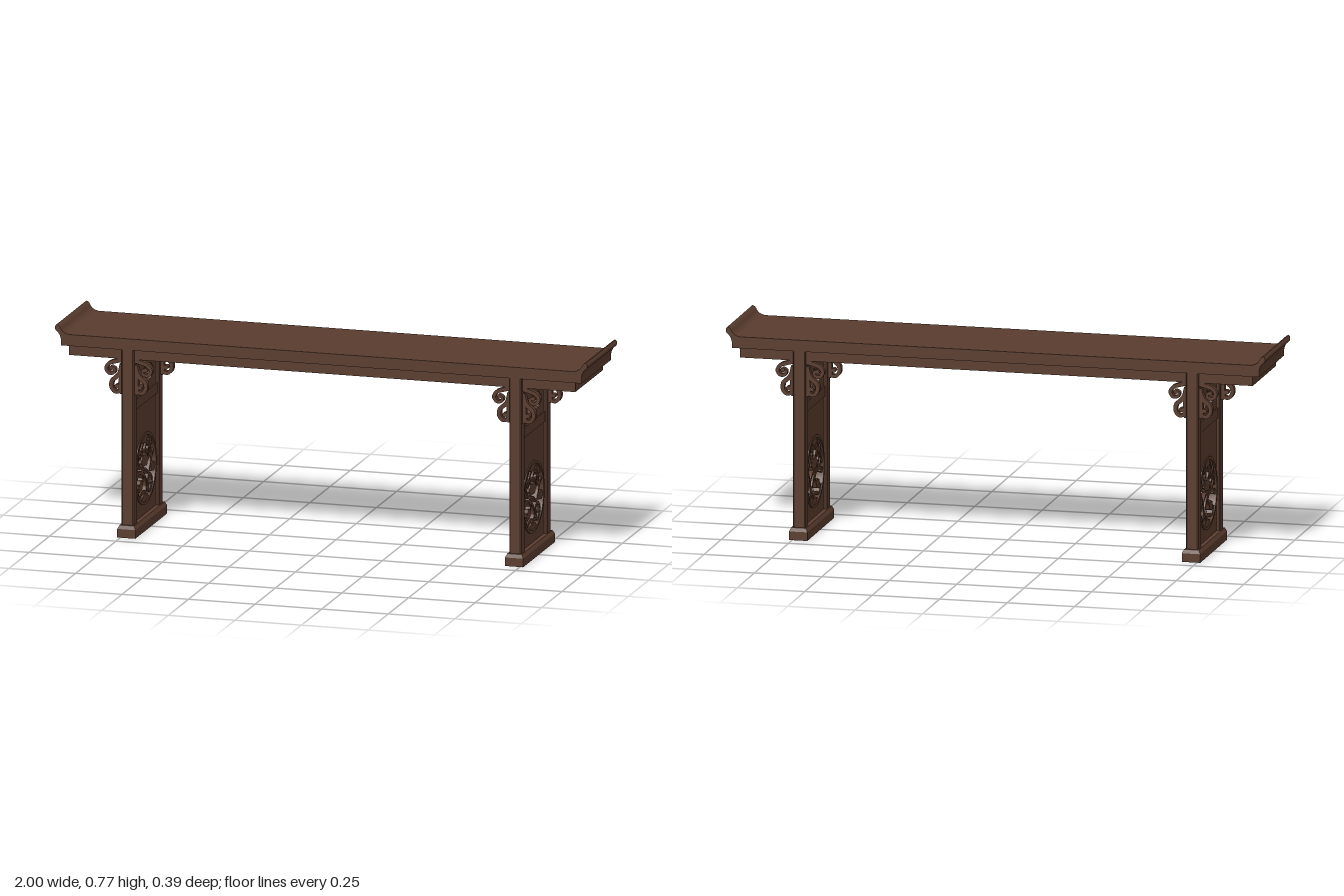
import * as THREE from 'three';
import { toCreasedNormals } from 'three/addons/utils/BufferGeometryUtils.js';

const wood = new THREE.MeshStandardMaterial({ color: 0x5a3c2e });
wood.name = 'dark wood';

const V = (p) => new THREE.Vector2(p[0], p[1]);

function add(parent, name, geo, x = 0, y = 0, z = 0) {
  const m = new THREE.Mesh(geo, wood);
  m.name = name;
  m.position.set(x, y, z);
  parent.add(m);
  return m;
}
const box = (parent, name, w, h, d, x, y, z) => add(parent, name, new THREE.BoxGeometry(w, h, d), x, y, z);

// extrusion centred on its own thickness, with sharp edges kept
function slab(shape, depth, curveSegments = 24) {
  const g = new THREE.ExtrudeGeometry(shape, { depth, bevelEnabled: false, curveSegments });
  g.translate(0, 0, -depth / 2);
  return toCreasedNormals(g, 0.6);
}

// tapering strip along a smooth path
function ribbon(points, w0, w1, n = 24) {
  const curve = new THREE.SplineCurve(points.map(V));
  const a = [], b = [];
  for (let i = 0; i <= n; i++) {
    const t = i / n, p = curve.getPoint(t), d = curve.getTangent(t);
    const w = (w0 + (w1 - w0) * t) / 2;
    a.push(new THREE.Vector2(p.x - d.y * w, p.y + d.x * w));
    b.unshift(new THREE.Vector2(p.x + d.y * w, p.y - d.x * w));
  }
  return new THREE.Shape([...a, ...b]);
}

// lobed leaf or blossom outline
function blossom(x, y, rx, ry, lobes, turn = 0) {
  const pts = [];
  for (let i = 0; i < 40; i++) {
    const t = (i / 40) * Math.PI * 2, r = 1 + 0.13 * Math.cos(lobes * t);
    const px = rx * r * Math.cos(t), py = ry * r * Math.sin(t);
    pts.push(new THREE.Vector2(x + px * Math.cos(turn) - py * Math.sin(turn), y + px * Math.sin(turn) + py * Math.cos(turn)));
  }
  return new THREE.Shape(pts);
}

const rect = (x0, y0, x1, y1) => new THREE.Shape([[x0, y0], [x1, y0], [x1, y1], [x0, y1]].map(V));

// vine paths inside the medallion, relative to its centre, in hundredths
const vines = [
  [[-12, -2], [-8, -0.5], [-3, -1], [1, -3.5], [2.6, -7], [0.5, -10.5]],
  [[-4.5, 10], [-7, 7.5], [-7.4, 4], [-5.5, 1.2], [-2, 0], [2, -0.8], [5, -3]],
  [[-7.4, 5], [-5.6, 7.2], [-4.2, 5.6], [-5.4, 4.6]],
  [[2.5, 9], [6, 7.6], [8, 4.5], [8, 1], [5.8, -2], [4.4, -5], [5, -8]],
  [[7.8, 3], [5.5, 4.6], [5, 6.4], [6.3, 6.6]],
  [[5, -3.5], [8, -4.2], [9.4, -6.5], [8, -7.8], [7, -6.6]],
  [[2.4, -7.5], [4.6, -8.4], [6.5, -10], [8, -9.6]],
  [[0.8, -9], [-3, -8.6], [-6, -9.6], [-8.8, -8.6]],
  [[-3, -1.2], [-1.8, -3.4], [-4.2, -5.2], [-8, -5]],
  [[-12.3, 1], [-10, 2.4], [-8.8, 0.6], [-9, -1]],
  [[-9.5, 8], [-8.6, 5.5], [-10.6, 3.6], [-12, 3]],
  [[-2, 5], [-3.4, 7.2], [-1.4, 9], [0, 10]],
  [[4, 3], [3.2, 5.4], [1, 7], [2.8, 8.8]],
  [[8, 1], [10, 3.4], [11.8, 4.5]],
];
const flowers = [
  [0, 2.9, 4.3, 2.2, 6], [0, 11.2, 3.6, 1.8, 5], [9.8, -1.6, 2.8, 1.6, 5], [-5, -5.6, 2.8, 1.7, 5, 0.4],
  [0, -11.3, 4, 1.6, 7], [-9.6, 4.6, 2.2, 1.1, 3, 0.9], [-9, -8.2, 2.4, 1.3, 4, -0.6],
  [8, -8.6, 2, 1.2, 4, 0.7], [6.8, 8.6, 2.2, 1.2, 4, -0.7], [-6, 9.8, 2, 1.1, 3, 0.6], [-10.8, -1.8, 1.8, 1, 3],
];

// end frame, drawn in a (-z, y) plane and turned to face sideways
function endPanels(leg) {
  const g = new THREE.Group();
  g.name = 'endPanels';
  g.rotation.y = Math.PI / 2;
  leg.add(g);

  const lower = rect(-0.138, 0.04, 0.138, 0.462);
  lower.holes.push(new THREE.Path().absarc(0, 0.213, 0.13, 0, Math.PI * 2, true));
  add(g, 'lowerPanel', slab(lower, 0.022, 40));

  const upper = rect(-0.138, 0.495, 0.138, 0.628);
  const cut = [[-10.4, 55.9], [-9.5, 57.1], [-7.9, 58.1], [-5.9, 58.9], [-3.9, 58.3], [-1.4, 58.1], [0.2, 59.3], [2, 57.9],
    [5.1, 58.7], [7.1, 58.9], [8.9, 57.3], [10.6, 56.5], [10.6, 55.3], [8.7, 54.7], [7.1, 53], [4.3, 52.6], [2, 53.9],
    [0.2, 55.5], [-1.4, 54.1], [-4.1, 52.6], [-7.1, 53.2], [-8.3, 54.7], [-10.4, 55.1]];
  upper.holes.push(new THREE.Path(cut.map(([a, b]) => new THREE.Vector2(a / 100, b / 100))));
  add(g, 'cutoutPanel', slab(upper, 0.022));

  box(g, 'middleRail', 0.276, 0.038, 0.032, 0, 0.479, 0);
  box(g, 'topRail', 0.276, 0.07, 0.032, 0, 0.66, 0);

  // carved round medallion
  const ring = new THREE.Shape().absarc(0, 0, 0.133, 0, Math.PI * 2, false);
  ring.holes.push(new THREE.Path().absarc(0, 0, 0.122, 0, Math.PI * 2, true));
  add(g, 'medallionRing', slab(ring, 0.03, 40), 0, 0.213);
  for (const v of vines) {
    add(g, 'vine', slab(ribbon(v.map(([a, b]) => [a / 100, b / 100]), 0.013, 0.008), 0.018), 0, 0.213);
  }
  for (const [x, y, rx, ry, n, t] of flowers) {
    add(g, 'blossom', slab(blossom(x / 100, y / 100, rx / 100, ry / 100, n, t), 0.022), 0, 0.213);
  }
}

// scrolled bracket beside a post; s is the side it grows towards
function bracket(leg, s, z) {
  const g = new THREE.Group();
  g.name = 'scrollBracket';
  g.position.z = z;
  leg.add(g);
  const strips = [
    [[[0.022, 0.652], [0.045, 0.646], [0.072, 0.636], [0.084, 0.617], [0.073, 0.6], [0.056, 0.602], [0.052, 0.615], [0.062, 0.622]], 0.016, 0.009],
    [[[0.024, 0.635], [0.032, 0.605], [0.045, 0.588], [0.062, 0.572], [0.064, 0.548], [0.05, 0.532], [0.034, 0.536], [0.034, 0.552], [0.044, 0.556]], 0.018, 0.01],
    [[[0.024, 0.605], [0.03, 0.57], [0.026, 0.525]], 0.016, 0.012],
  ];
  for (const [pts, w0, w1] of strips) {
    add(g, 'scroll', slab(ribbon(pts.map(([x, y]) => [x * s, y]), w0, w1, 36), 0.02));
  }
  for (const [x, y] of [[0.064, 0.619], [0.044, 0.553]]) {
    const eye = new THREE.CylinderGeometry(0.008, 0.008, 0.022, 16).rotateX(Math.PI / 2);
    add(g, 'scrollEye', eye, x * s, y, 0);
  }
}

function buildLeg(x) {
  const leg = new THREE.Group();
  leg.name = 'legFrame';
  leg.position.x = x;

  // foot: a block with a chamfered top
  const foot = new THREE.BoxGeometry(0.068, 0.045, 0.392, 1, 2, 1).toNonIndexed();
  const p = foot.attributes.position;
  for (let i = 0; i < p.count; i++) {
    const y = p.getY(i);
    if (y > 0.01) p.setXYZ(i, p.getX(i) * 0.8, y, p.getZ(i) * 0.97);
    else if (y > -0.01) p.setY(i, 0.009);
  }
  foot.computeVertexNormals();
  add(leg, 'foot', foot, 0, 0.0225, 0);

  // posts with eased corners
  const a = 0.023, c = 0.004;
  const section = new THREE.Shape([[-a + c, -a], [a - c, -a], [a, -a + c], [a, a - c], [a - c, a], [-a + c, a], [-a, a - c], [-a, -a + c]].map(V));
  for (const s of [-1, 1]) {
    const post = slab(section, 0.655).rotateX(Math.PI / 2);
    add(leg, 'post', post, 0, 0.3675, s * 0.159);
    for (const side of [-1, 1]) bracket(leg, side, s * 0.16);
  }
  endPanels(leg);
  return leg;
}

export function createModel() {
  const model = new THREE.Group();
  model.name = 'altarTable';

  // top with upturned ends
  const top = new THREE.Shape();
  top.moveTo(-0.977, 0.693);
  top.lineTo(0.977, 0.693);
  top.lineTo(0.977, 0.715);
  top.quadraticCurveTo(0.98, 0.737, 0.997, 0.748);
  top.quadraticCurveTo(1.003, 0.762, 0.994, 0.769);
  top.quadraticCurveTo(0.984, 0.769, 0.978, 0.755);
  top.quadraticCurveTo(0.968, 0.737, 0.945, 0.735);
  top.lineTo(-0.945, 0.735);
  top.quadraticCurveTo(-0.968, 0.737, -0.978, 0.755);
  top.quadraticCurveTo(-0.984, 0.769, -0.994, 0.769);
  top.quadraticCurveTo(-1.003, 0.762, -0.997, 0.748);
  top.quadraticCurveTo(-0.98, 0.737, -0.977, 0.715);
  add(model, 'tableTop', slab(top, 0.368, 8));

  // apron under the top
  for (const s of [-1, 1]) {
    box(model, 'longApron', 1.9, 0.038, 0.02, 0, 0.675, s * 0.16);
    box(model, 'endApron', 0.02, 0.038, 0.32, s * 0.94, 0.675, 0);
  }

  for (const s of [-1, 1]) model.add(buildLeg(s * 0.728));
  return model;
}
